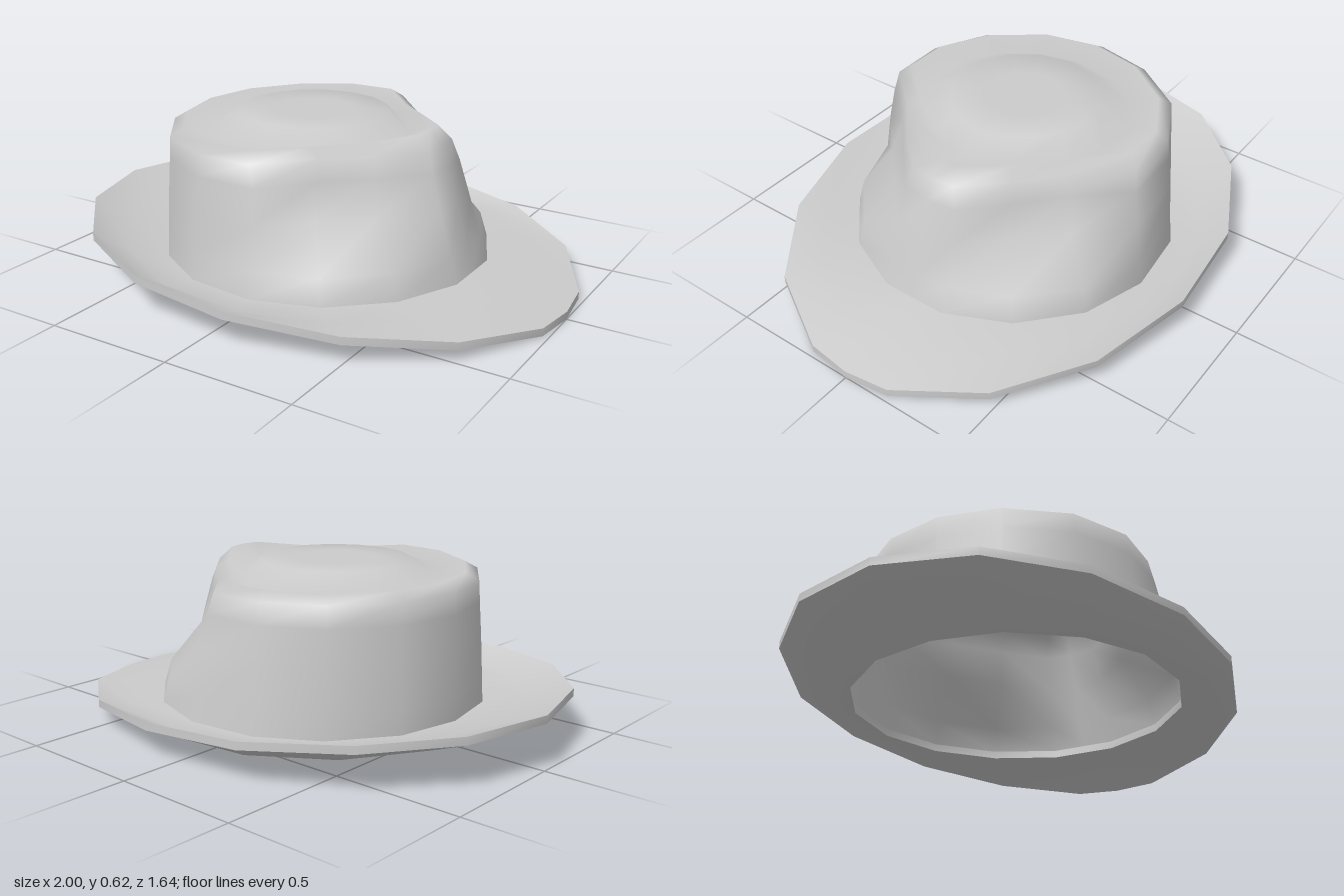
import * as THREE from 'three';
import { toCreasedNormals } from 'three/addons/utils/BufferGeometryUtils.js';

// A ring is given by 9 [x, z] points from back to front on one side, mirrored to 16 points.
// y is one height or a list of 9 heights.
function ring(half, y) {
  const pts = half.map(([x, z], i) => new THREE.Vector3(x, Array.isArray(y) ? y[i] : y, z));
  for (let i = 7; i > 0; i--) pts.push(new THREE.Vector3(pts[i].x, pts[i].y, -pts[i].z));
  return pts;
}

// Skin through the rings; optionally joins last to first, or closes the last with a centre point.
function loft(rings, { closed = false, cap = null } = {}) {
  const n = rings[0].length;
  const positions = rings.flat().flatMap((p) => [p.x, p.y, p.z]);
  const index = [];
  const last = closed ? rings.length : rings.length - 1;
  for (let j = 0; j < last; j++) {
    const k = (j + 1) % rings.length;
    for (let i = 0; i < n; i++) {
      const m = (i + 1) % n;
      const a = j * n + i, b = j * n + m, c = k * n + m, d = k * n + i;
      index.push(a, b, c, a, c, d);
    }
  }
  if (cap) {
    positions.push(...cap);
    const base = (rings.length - 1) * n;
    for (let i = 0; i < n; i++) index.push(base + i, base + (i + 1) % n, rings.length * n);
  }
  const g = new THREE.BufferGeometry();
  g.setAttribute('position', new THREE.Float32BufferAttribute(positions, 3));
  g.setIndex(index);
  g.computeVertexNormals();
  return g;
}

const mix = (a, b, t) => a.map(([x, z], i) => [x + (b[i][0] - x) * t, z + (b[i][1] - z) * t]);

// Half ellipse with the same 9 angular steps as the other rings
const oval = (cx, rx, rz) => Array.from({ length: 9 }, (_, i) => {
  const a = Math.PI * (1 - i / 8);
  return [cx + rx * Math.cos(a), rz * Math.sin(a)];
});

export function createModel() {
  const group = new THREE.Group();
  group.name = 'hat';
  const material = new THREE.MeshStandardMaterial({ color: 0xcccccc, side: THREE.DoubleSide });
  const add = (name, geometry) => {
    const mesh = new THREE.Mesh(geometry, material);
    mesh.name = name;
    group.add(mesh);
  };

  const base = [[-0.63, 0], [-0.58, 0.25], [-0.42, 0.47], [-0.2, 0.6], [0.07, 0.63],
    [0.32, 0.55], [0.52, 0.37], [0.63, 0.13], [0.63, 0]];
  const edge = [[-1, 0], [-0.91, 0.34], [-0.67, 0.61], [-0.31, 0.785], [0.1, 0.82],
    [0.5, 0.715], [0.81, 0.485], [0.98, 0.175], [1, 0]];

  // Brim: a thin sheet, turned up at the back and down at the front
  const edgeY = [0.17, 0.165, 0.15, 0.125, 0.105, 0.075, 0.04, 0.004, 0];
  const midY = [0.1, 0.095, 0.08, 0.068, 0.065, 0.065, 0.06, 0.045, 0.04];
  const raise = (ys) => ys.map((y) => y + 0.03);
  const middle = mix(base, edge, 0.5);
  add('brim', toCreasedNormals(loft([
    ring(base, 0.065), ring(middle, midY), ring(edge, edgeY),
    ring(edge, raise(edgeY)), ring(middle, raise(midY)), ring(base, 0.095),
  ], { closed: true }), 0.7));

  // Crown: tapering wall with a pinch on both sides of the front
  const low = [[-0.627, 0], [-0.576, 0.247], [-0.418, 0.464], [-0.198, 0.59], [0.066, 0.615],
    [0.305, 0.53], [0.495, 0.355], [0.6, 0.127], [0.603, 0]];
  const waist = [[-0.62, 0], [-0.57, 0.24], [-0.415, 0.455], [-0.195, 0.575], [0.06, 0.59],
    [0.23, 0.43], [0.39, 0.28], [0.55, 0.12], [0.56, 0]];
  const upper = [[-0.613, 0], [-0.563, 0.234], [-0.411, 0.446], [-0.191, 0.56], [0.05, 0.565],
    [0.2, 0.39], [0.36, 0.25], [0.51, 0.11], [0.52, 0]];
  const shoulder = [[-0.61, 0], [-0.56, 0.23], [-0.41, 0.44], [-0.19, 0.55], [0.03, 0.55],
    [0.19, 0.37], [0.35, 0.235], [0.485, 0.09], [0.49, 0]];
  const crest = [[-0.56, 0], [-0.515, 0.21], [-0.375, 0.4], [-0.18, 0.505], [0, 0.505],
    [0.15, 0.345], [0.3, 0.215], [0.43, 0.075], [0.44, 0]];
  const crestY = [0.59, 0.59, 0.59, 0.592, 0.594, 0.59, 0.595, 0.612, 0.614];
  const groove = [[-0.45, 0], [-0.41, 0.18], [-0.31, 0.32], [-0.17, 0.4], [0.02, 0.4],
    [0.13, 0.3], [0.25, 0.18], [0.32, 0.065], [0.33, 0]];

  // The top sinks to a groove inside the crest and rises to a low central dome
  add('crown', loft([
    ring(base, 0.095), ring(low, 0.19), ring(waist, 0.35), ring(upper, 0.48),
    ring(shoulder, 0.56), ring(crest, crestY), ring(groove, 0.56),
    ring(oval(-0.06, 0.29, 0.285), 0.62), ring(oval(-0.06, 0.15, 0.15), 0.62),
  ], { cap: [-0.06, 0.62, 0] }));

  return group;
}
